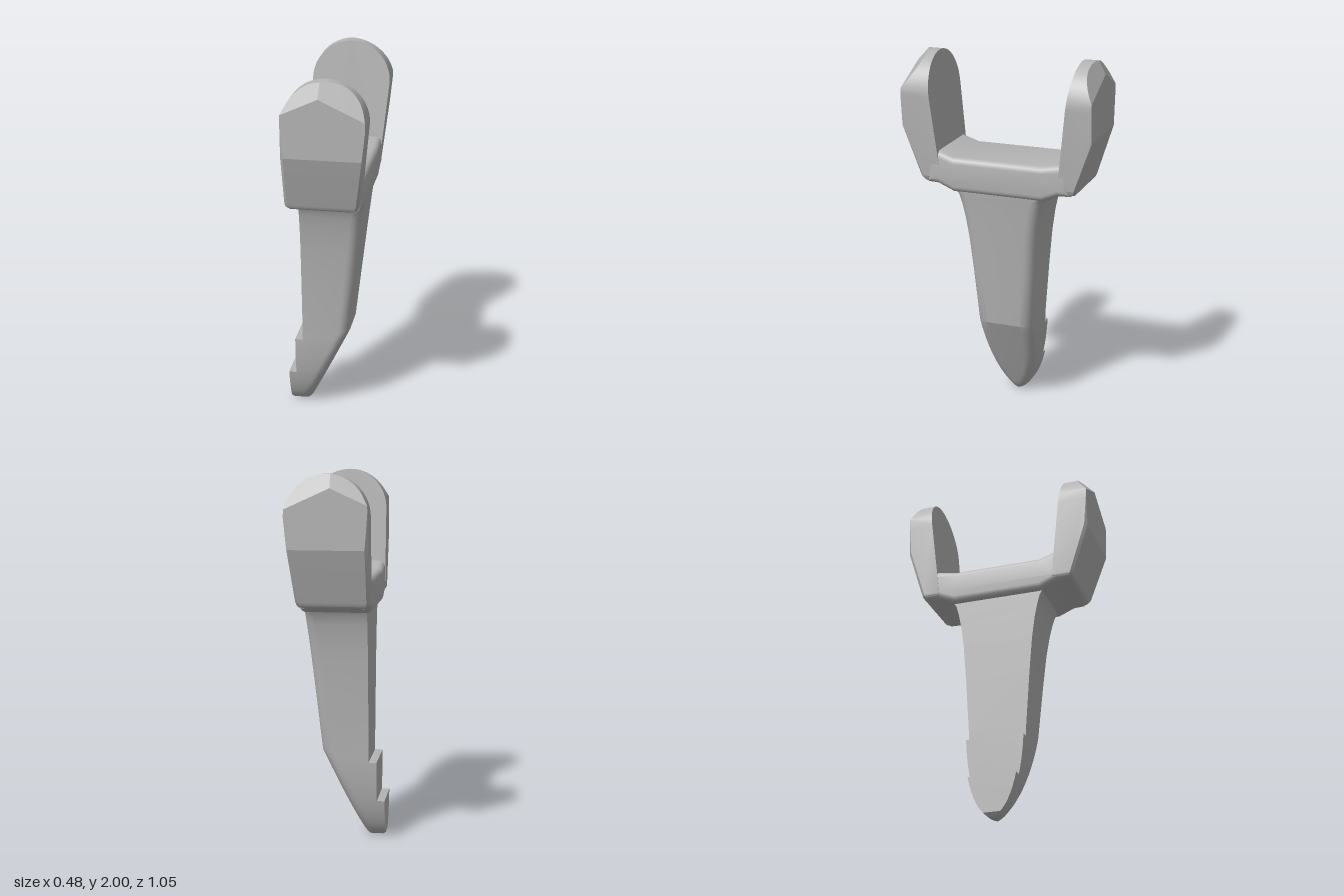
import * as THREE from 'three';
import { toCreasedNormals } from 'three/addons/utils/BufferGeometryUtils.js';
import { ConvexGeometry } from 'three/addons/geometries/ConvexGeometry.js';

const { lerp, clamp } = THREE.MathUtils;

// Piecewise-linear lookup through [key, value] pairs
function along(pairs, t) {
  for (let i = 1; i < pairs.length; i++) {
    const [a, va] = pairs[i - 1], [b, vb] = pairs[i];
    if (t <= b) return lerp(va, vb, clamp((t - a) / (b - a), 0, 1));
  }
  return pairs[pairs.length - 1][1];
}

// Tapered stem: stacked sections with a flat stepped back and rounded front corners
function stemGeometry() {
  const front = [[0, -0.15], [0.035, -0.122], [0.5, 0.1], [1.34, 0.19], [1.4, 0.19]];
  const upperWidth = [[0.5, 0.158], [0.8, 0.178], [1, 0.194], [1.12, 0.21], [1.2, 0.226], [1.25, 0.24], [1.29, 0.265], [1.4, 0.27]];
  const halfWidth = y => y < 0.5 ? 0.158 * Math.sqrt(Math.max(0, 1 - (1 - y / 0.5) ** 2)) : along(upperWidth, y);
  const levels = [];
  for (let i = 0; i <= 16; i++) levels.push(0.5 * (1 - Math.cos(i / 16 * Math.PI / 2)));
  levels.push(0.22, 0.22, 0.44, 0.44, ...upperWidth.slice(1).map(p => p[0]));
  levels.sort((a, b) => a - b);

  const pos = [], index = [], arc = 6, n = 2 * (arc + 1) + 2;
  levels.forEach((y, k) => {
    const repeated = k > 0 && levels[k - 1] === y;
    let back = -0.157;
    if (y < 0.22 || (y === 0.22 && !repeated)) back = -0.242 + 0.02 * Math.max(0, 1 - y / 0.02);
    else if (y < 0.44 || (y === 0.44 && !repeated)) back = -0.2;
    const w = Math.max(halfWidth(y), 0.004), xf = along(front, y);
    const r = Math.min(0.06, w * 0.9, (xf - back) * 0.7);
    pos.push(back, y, -w);
    for (const s of [-1, 1]) {
      for (let i = 0; i <= arc; i++) {
        const a = (s < 0 ? arc - i : i) / arc * Math.PI / 2;
        pos.push(xf - r + r * Math.cos(a), y, s * (w - r + r * Math.sin(a)));
      }
    }
    pos.push(back, y, w);
  });
  for (let k = 0; k < levels.length - 1; k++) {
    for (let i = 0; i < n; i++) {
      const a = k * n + i, b = k * n + (i + 1) % n;
      index.push(a, a + n, b, b, a + n, b + n);
    }
  }
  for (let i = 1; i < n - 1; i++) index.push(0, i, i + 1);
  const g = new THREE.BufferGeometry();
  g.setAttribute('position', new THREE.Float32BufferAttribute(pos, 3));
  g.setIndex(index);
  return toCreasedNormals(g, 0.33);
}

// Crossbar: side profile extruded across the depth with rounded edges
function crossbarGeometry() {
  const profile = [
    [-0.4, 1.495], [-0.335, 1.49], [-0.245, 1.46], [0.24, 1.46], [0.34, 1.478], [0.4, 1.48],
    [0.4, 1.31], [0.34, 1.308], [0.25, 1.27], [-0.25, 1.27], [-0.34, 1.308], [-0.4, 1.31],
  ];
  const shape = new THREE.Shape(profile.map(p => new THREE.Vector2(...p)).reverse());
  const bevel = 0.035;
  const g = new THREE.ExtrudeGeometry(shape, {
    depth: 0.39 - 2 * bevel, bevelEnabled: true, bevelSize: bevel,
    bevelThickness: bevel, bevelOffset: -bevel, bevelSegments: 5,
  });
  g.translate(0, 0, -0.19 + bevel);
  g.rotateY(Math.PI / 2);
  return toCreasedNormals(g, 0.4);
}

// Jaw: round-topped slab with a sloping inner face and a faceted outer face
function jawGeometry(side, innerLow, innerHigh, chamfer) {
  const inner = y => lerp(innerLow, innerHigh, (y - 1.45) / 0.55);
  const lower = [[1.31, 0.4], [1.316, 0.42], [1.328, 0.432], [1.345, 0.438], [1.62, 0.523], [2, 0.523]];
  const outer = (x, y) => {
    const ridge = Math.abs(x) * 0.417 + (y - 1.93) * 0.909;
    return Math.min(along(lower, y), 0.523 - chamfer * ridge);
  };
  const outline = [];
  for (let i = 0; i <= 28; i++) {
    const a = lerp(-0.02, Math.PI, i / 28);
    outline.push([0.022 + 0.214 * Math.cos(a), 1.786 + 0.214 * Math.sin(a)]);
  }
  outline.push([-0.192, 1.62], [0.219, 1.62], [-0.192, 1.345], [0.193, 1.345]);
  // rounded bottom corners
  for (let i = 0; i <= 5; i++) {
    const a = i / 5 * Math.PI / 2, c = 0.035 * (1 - Math.cos(a)), s = 0.035 * (1 - Math.sin(a));
    outline.push([-0.192 + c, 1.31 + s], [0.19 - c, 1.31 + s]);
  }
  const points = [];
  const add = (x, y, z) => points.push(new THREE.Vector3(x, y, side * z));
  for (const [x, y] of outline) {
    const soft = y < 1.4 || (x < 0 && y < 1.8) ? 0.015 : 0;
    add(x, y, inner(y));
    add(x, y, outer(x, y) - soft);
    if (soft) add(x - Math.sign(x) * soft, y, outer(x, y));
  }
  add(0, 1.93, 0.523);
  add(0.234, 1.823, 0.523);
  add(-0.19, 1.843, 0.523);
  return toCreasedNormals(new ConvexGeometry(points), 0.24);
}

export function createModel() {
  const grey = new THREE.MeshStandardMaterial({ color: 0xb4b4b4 });
  grey.name = 'plain grey';
  const group = new THREE.Group();
  group.name = 'forkedHook';
  const part = (name, geometry) => {
    const mesh = new THREE.Mesh(geometry, grey);
    mesh.name = name;
    group.add(mesh);
  };
  part('stem', stemGeometry());
  part('crossbar', crossbarGeometry());
  part('frontJaw', jawGeometry(1, 0.33, 0.382, 1));
  part('backJaw', jawGeometry(-1, 0.345, 0.41, 0.58));
  return group;
}
